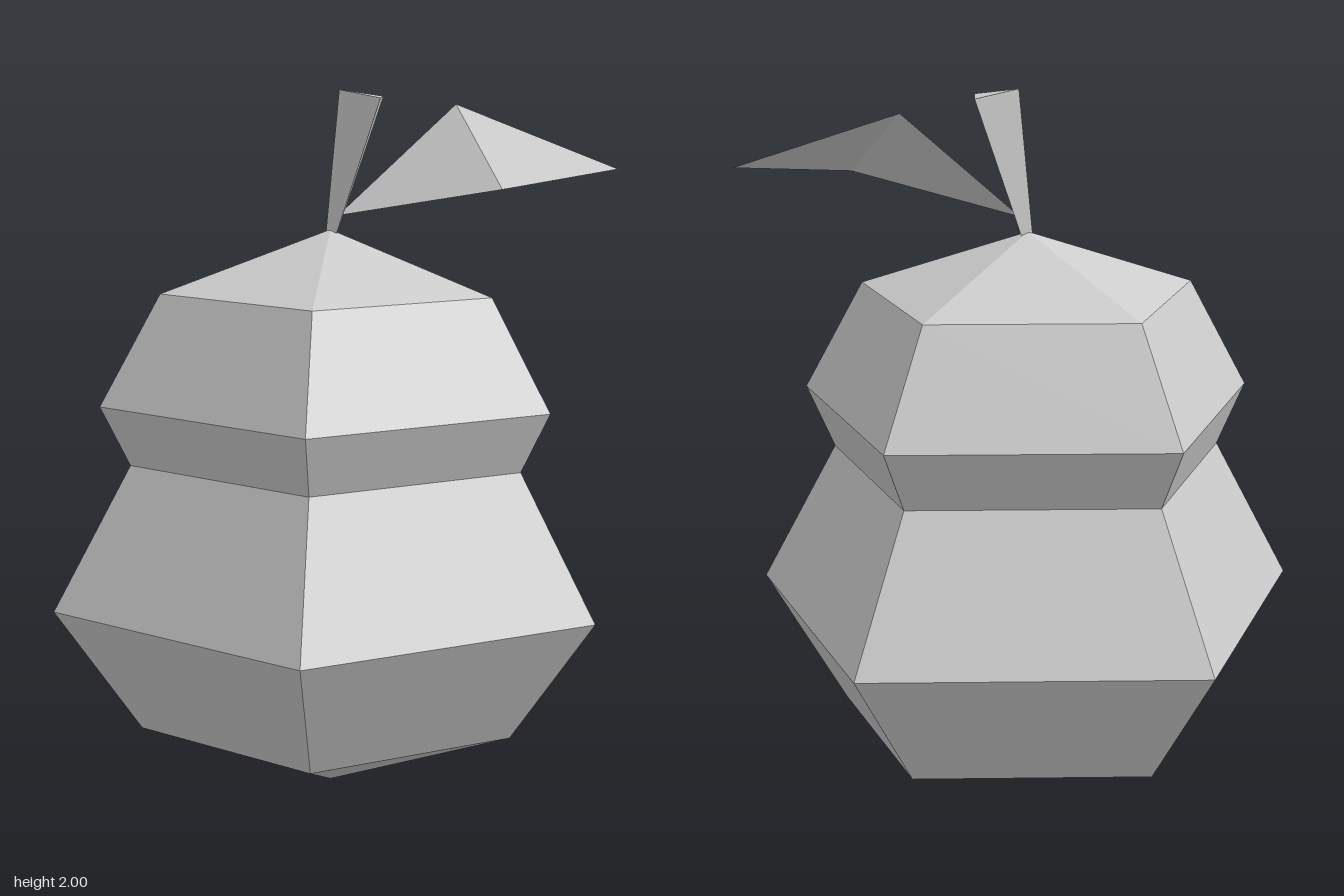
import * as THREE from 'three';

export function createModel() {
  const group = new THREE.Group();
  group.name = 'pear';

  const grey = new THREE.MeshStandardMaterial({ color: 0xcccccc, flatShading: true, side: THREE.DoubleSide });
  grey.name = 'light grey';

  // Shared vertical axis of the fruit
  const AXIS_X = -0.022, AXIS_Z = -0.075;

  function add(name, geometry) {
    const mesh = new THREE.Mesh(geometry, grey);
    mesh.name = name;
    group.add(mesh);
    return mesh;
  }

  // Five-sided body: radius and height of each ring, bottom to top
  const profile = [
    [0, 0], [0.553, 0.19], [0.8, 0.545], [0.576, 0.957],
    [0.66, 1.127], [0.486, 1.44], [0, 1.61],
  ].map(([r, y]) => new THREE.Vector2(r, y));
  const body = add('body', new THREE.LatheGeometry(profile, 5).toNonIndexed());
  body.geometry.computeVertexNormals();
  body.position.set(AXIS_X, 0, AXIS_Z);

  // Three-sided stem, flaring upward, leaning to +x with a slanted top
  const stem = new THREE.CylinderGeometry(0.08, 0.02, 1, 3).toNonIndexed();
  stem.rotateY(-Math.PI / 2);
  stem.scale(1, 1, 0.78);
  const p = stem.attributes.position;
  for (let i = 0; i < p.count; i++) {
    const x = p.getX(i);
    const top = p.getY(i) > 0;
    p.setX(i, x + (top ? 0.083 : -0.015));
    p.setY(i, top ? 1.987 - 0.167 * x : 1.595);
  }
  stem.computeVertexNormals();
  add('stem', stem).position.z = AXIS_Z;

  // Leaf: two triangles folded across the middle
  const base = [0, 1.65, -0.07], back = [0.322, 1.955, -0.215];
  const front = [0.467, 1.743, 0.145], tip = [0.78, 1.786, -0.057];
  const leaf = new THREE.BufferGeometry();
  leaf.setAttribute('position', new THREE.Float32BufferAttribute(
    [base, front, back, back, front, tip].flat(), 3));
  leaf.computeVertexNormals();
  add('leaf', leaf);

  return group;
}
